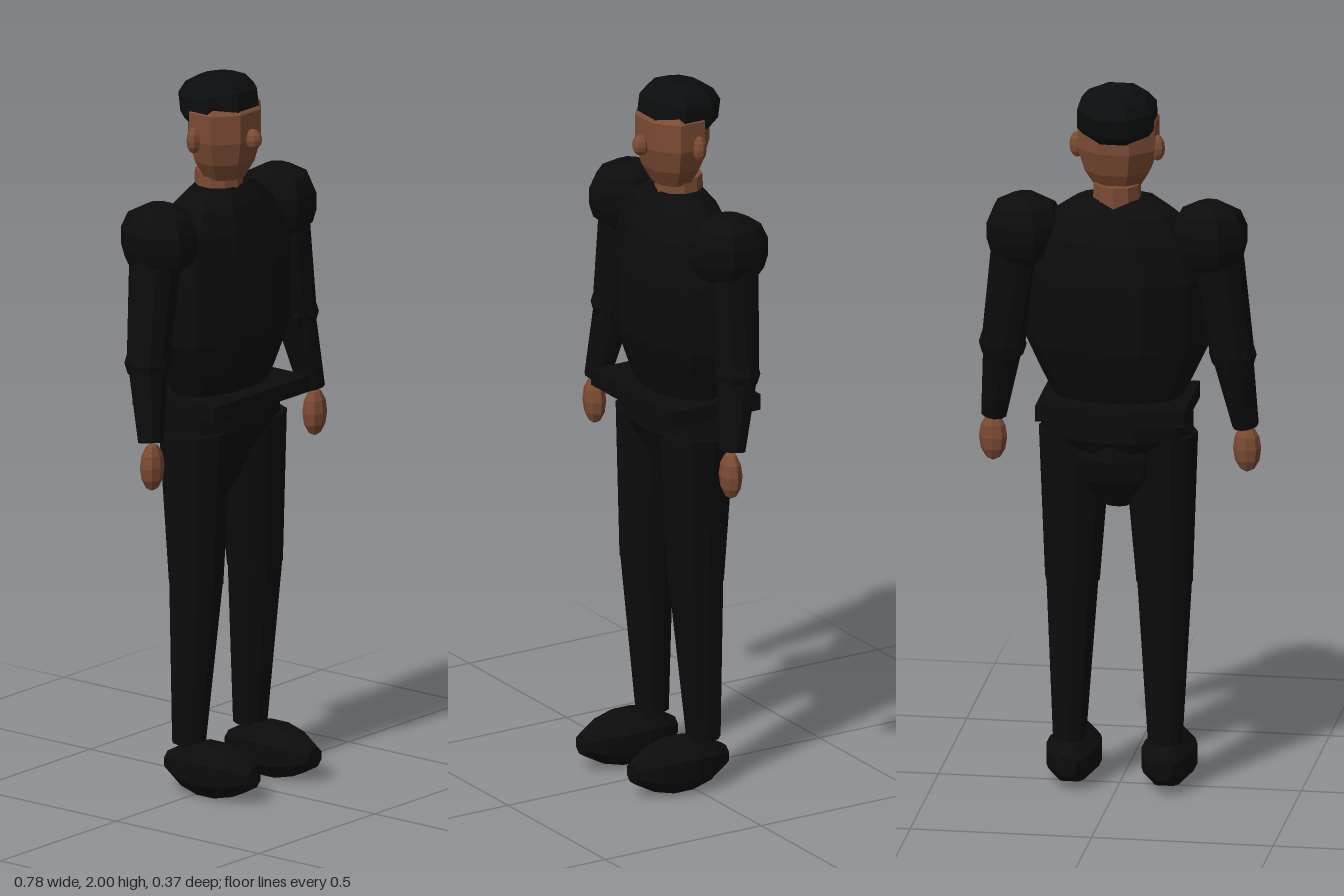
import * as THREE from 'three';

const skin = new THREE.MeshStandardMaterial({ color: 0x7c4b33 });
const clothing = new THREE.MeshStandardMaterial({ color: 0x0c0c0c });
const hairBlack = new THREE.MeshStandardMaterial({ color: 0x0b0d0e });
skin.name = 'skin';
clothing.name = 'clothing';
hairBlack.name = 'hairBlack';

// Faceted mesh: every triangle keeps its own normal
function part(name, geometry, material, x = 0, y = 0, z = 0) {
  const flat = geometry.index ? geometry.toNonIndexed() : geometry;
  flat.computeVertexNormals();
  const mesh = new THREE.Mesh(flat, material);
  mesh.name = name;
  mesh.position.set(x, y, z);
  return mesh;
}

// Closed turned solid with a flat facet facing front; profile is [radius, y] from bottom to top
function turned(profile, sides, sx = 1, sz = 1) {
  const pts = [[0, profile[0][1]], ...profile, [0, profile[profile.length - 1][1]]];
  const k = 1 / Math.cos(Math.PI / sides);
  return new THREE.LatheGeometry(pts.map(([r, y]) => new THREE.Vector2(r, y)), sides, Math.PI / sides)
    .scale(sx * k, 1, sz * k);
}

function ellipsoid(rx, ry, rz, w = 8, h = 6) {
  return new THREE.SphereGeometry(1, w, h).scale(rx, ry, rz);
}

// Tapered limb between two points
function limb(name, from, to, rFrom, rTo, material) {
  const a = new THREE.Vector3(...from), b = new THREE.Vector3(...to);
  const dir = b.clone().sub(a);
  const mesh = part(name, new THREE.CylinderGeometry(rTo, rFrom, dir.length(), 10), material);
  mesh.position.copy(a).add(b).multiplyScalar(0.5);
  mesh.quaternion.setFromUnitVectors(new THREE.Vector3(0, 1, 0), dir.normalize());
  return mesh;
}

function createHead() {
  const head = new THREE.Group();
  head.name = 'head';
  head.add(part('face', turned(
    [[0.058, 1.715], [0.088, 1.765], [0.107, 1.83], [0.107, 1.91], [0.07, 1.95]], 8, 1, 0.86), skin, 0, 0, -0.027));
  // Cap of hair, tipped down at the back
  const hair = part('hair', turned(
    [[0.085, -0.052], [0.104, -0.025], [0.104, 0.028], [0.082, 0.057], [0.045, 0.074]], 8), hairBlack, 0, 1.925, -0.048);
  hair.rotation.x = -0.14;
  head.add(hair);
  head.add(part('nose', ellipsoid(0.023, 0.03, 0.026), skin, 0, 1.835, 0.073));
  for (const s of [1, -1]) {
    head.add(part(s > 0 ? 'leftEar' : 'rightEar', ellipsoid(0.022, 0.037, 0.019), skin, s * 0.11, 1.835, -0.046));
  }
  head.add(part('neck', new THREE.CylinderGeometry(0.065, 0.068, 0.09, 10), skin, 0, 1.687, -0.048));
  return head;
}

function createArm(s) {
  const arm = new THREE.Group();
  arm.name = s > 0 ? 'leftArm' : 'rightArm';
  arm.add(
    part('shoulder', turned(
      [[0.042, -0.098], [0.088, -0.058], [0.098, -0.02], [0.098, 0.025], [0.08, 0.07], [0.032, 0.098]], 8, 1, 1.05),
    clothing, s * 0.255, 1.588, -0.048),
    limb('upperArm', [s * 0.27, 1.57, -0.048], [s * 0.317, 1.25, -0.038], 0.075, 0.06, clothing),
    part('elbow', ellipsoid(0.066, 0.06, 0.064), clothing, s * 0.317, 1.255, -0.038),
    limb('forearm', [s * 0.317, 1.25, -0.038], [s * 0.347, 1.04, -0.003], 0.056, 0.036, clothing),
    part('hand', ellipsoid(0.039, 0.068, 0.03), skin, s * 0.35, 0.973, 0.004),
  );
  return arm;
}

function createLeg(s) {
  const leg = new THREE.Group();
  leg.name = s > 0 ? 'leftLeg' : 'rightLeg';
  leg.add(
    limb('thigh', [s * 0.117, 1.02, -0.035], [s * 0.127, 0.59, -0.024], 0.103, 0.077, clothing),
    limb('shin', [s * 0.127, 0.6, -0.024], [s * 0.132, 0.135, -0.045], 0.075, 0.047, clothing),
  );
  // Blunt-ended shoe turned along its length
  const shoe = turned([[0.028, -0.147], [0.058, -0.09], [0.072, -0.03], [0.072, 0.03], [0.058, 0.09], [0.028, 0.147]], 8);
  leg.add(part('shoe', shoe.rotateX(Math.PI / 2), clothing, s * 0.131, 0.073, 0.036));
  return leg;
}

export function createModel() {
  const figure = new THREE.Group();
  figure.name = 'figure';

  // Body: barrel torso, square belt and rounded hips
  figure.add(
    part('torso', turned(
      [[0.155, 1.1], [0.2, 1.19], [0.24, 1.28], [0.24, 1.47], [0.21, 1.58], [0.165, 1.65], [0.105, 1.692]], 10, 1, 0.55),
    clothing, 0, 0, -0.043),
    part('belt', new THREE.BoxGeometry(0.41, 0.045, 0.288), clothing, 0, 1.103, -0.039),
    part('hips', turned(
      [[0.03, 0.81], [0.085, 0.87], [0.13, 0.94], [0.2, 1.02], [0.2, 1.09]], 10, 1, 0.6), clothing, 0, 0, -0.045),
    part('seat', ellipsoid(0.13, 0.13, 0.1), clothing, 0, 0.965, -0.068),
  );
  figure.add(createHead());
  for (const s of [1, -1]) figure.add(createArm(s), createLeg(s));
  return figure;
}
